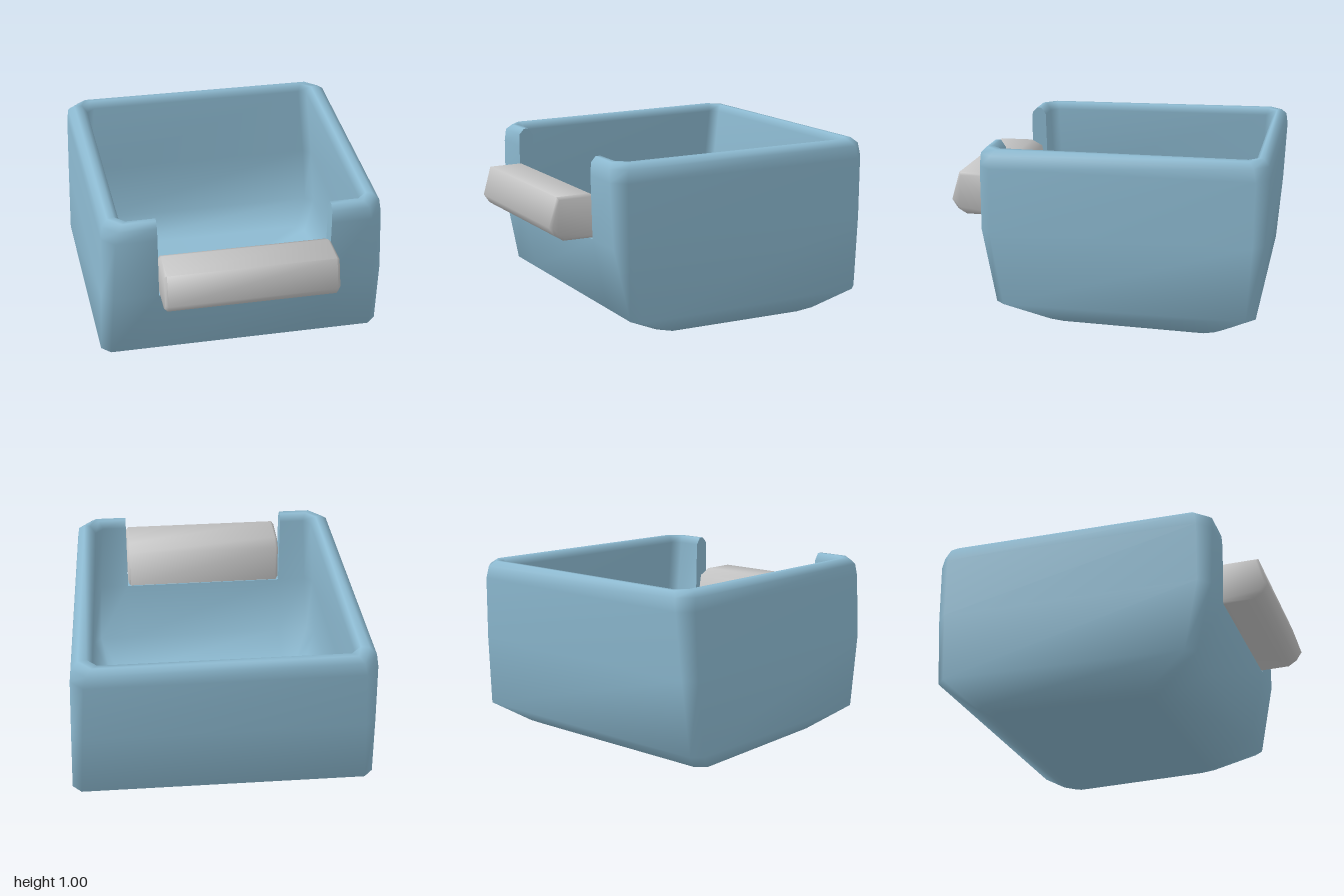
import * as THREE from 'three';
import { toCreasedNormals } from 'three/addons/utils/BufferGeometryUtils.js';

const blue = new THREE.MeshStandardMaterial({ color: 0x8cb9d0 });
blue.name = 'soft blue';
const grey = new THREE.MeshStandardMaterial({ color: 0xc4c4c4 });
grey.name = 'light grey';

const NOTCH = 0.468; // half width of the front opening
const FLOOR = 0.09; // height of the inner floor
const SILL = 3, INNER_SILL = 9; // rings level with the bottom of the opening

// Cross-sections from the base, up the outside, over the rim, down the inside:
// [height, half width at front, half width at back, front z, back z, corner cut]
const RINGS = [
  [0.0, 0.59, 0.645, 0.32, -0.575, 0.05],
  [0.03, 0.645, 0.70, 0.38, -0.64, 0.05],
  [0.15, 0.785, 0.835, 0.61, -0.82, 0.05],
  [0.55, 0.772, 0.82, 0.693, -0.855, 0.06],
  [0.9, 0.758, 0.806, 0.70, -0.873, 0.07],
  [0.97, 0.748, 0.796, 0.696, -0.865, 0.075],
  [1.0, 0.715, 0.76, 0.668, -0.835, 0.07],
  [1.0, 0.68, 0.715, 0.64, -0.81, 0.055],
  [0.96, 0.65, 0.685, 0.613, -0.785, 0.045],
  [0.55, 0.678, 0.722, 0.603, -0.765, 0.045],
  [0.21, 0.695, 0.74, 0.53, -0.735, 0.045],
  [FLOOR, 0.60, 0.65, 0.34, -0.585, 0.045],
];

// Ten points round one cross-section; 1 and 2 are the sides of the opening
function ringPoints([y, wf, wb, zf, zb, c]) {
  const n = Math.min(NOTCH, (wf - c) * 0.9);
  return [
    [-(wf - c), zf], [-n, zf], [n, zf], [wf - c, zf],
    [wf, zf - c], [wb, zb + c], [wb - c, zb],
    [-(wb - c), zb], [-wb, zb + c], [-wf, zf - c],
  ].map(([x, z]) => new THREE.Vector3(x, y, z));
}

function shellGeometry(rings) {
  const n = 10, index = [];
  const points = rings.flat();
  const floor = points.push(new THREE.Vector3(0, FLOOR, -0.12)) - 1;
  const base = points.push(new THREE.Vector3(0, 0, -0.12)) - 1;
  const last = (rings.length - 1) * n;
  for (let j = 0; j < n; j++) {
    const k = (j + 1) % n;
    for (let i = 0; i < rings.length - 1; i++) {
      if (j === 1 && i >= SILL && i < INNER_SILL) continue; // front opening
      const a = i * n + j, b = i * n + k;
      index.push(a, b, b + n, a, b + n, a + n);
    }
    index.push(base, k, j, floor, last + j, last + k);
  }
  const g = new THREE.BufferGeometry().setFromPoints(points);
  g.setIndex(index);
  g.computeVertexNormals();
  return g;
}

// Flat faces that close the wall thickness round the opening
function notchGeometry(rings) {
  const tris = [];
  const fan = (p) => {
    for (let i = 1; i < p.length - 1; i++) tris.push(p[0], p[i], p[i + 1]);
  };
  const wall = rings.slice(SILL, INNER_SILL + 1);
  fan(wall.map((r) => r[1]).reverse());
  fan(wall.map((r) => r[2]));
  const o = rings[SILL], q = rings[INNER_SILL];
  fan([o[1], o[2], q[2], q[1]]);
  const g = new THREE.BufferGeometry().setFromPoints(tris);
  g.computeVertexNormals();
  return g;
}

// Rounded bar lying along the opening, drawn as a (z, y) profile
function barGeometry() {
  const profile = [
    [0.60, 0.555], [0.857, 0.56], [0.905, 0.59], [0.939, 0.64],
    [0.893, 0.80], [0.70, 0.80], [0.635, 0.765],
  ];
  const shape = new THREE.Shape(profile.map(([z, y]) => new THREE.Vector2(z, y)));
  const length = 0.932, edge = 0.015;
  const g = new THREE.ExtrudeGeometry(shape, {
    depth: length - 2 * edge, bevelThickness: edge,
    bevelSize: edge, bevelOffset: -edge, bevelSegments: 1,
  });
  g.translate(0, 0, edge - length / 2).rotateY(-Math.PI / 2);
  return toCreasedNormals(g, 1.3);
}

export function createModel() {
  const model = new THREE.Group();
  model.name = 'openBin';
  const bin = new THREE.Group();
  bin.name = 'turnedBin';
  bin.rotation.y = -0.188;
  bin.position.set(-0.044, 0, -0.008);
  model.add(bin);

  const add = (name, geometry, material) => {
    const mesh = new THREE.Mesh(geometry, material);
    mesh.name = name;
    bin.add(mesh);
  };
  const rings = RINGS.map(ringPoints);
  add('shell', shellGeometry(rings), blue);
  add('openingEdges', notchGeometry(rings), blue);
  add('frontBar', barGeometry(), grey);
  return model;
}
